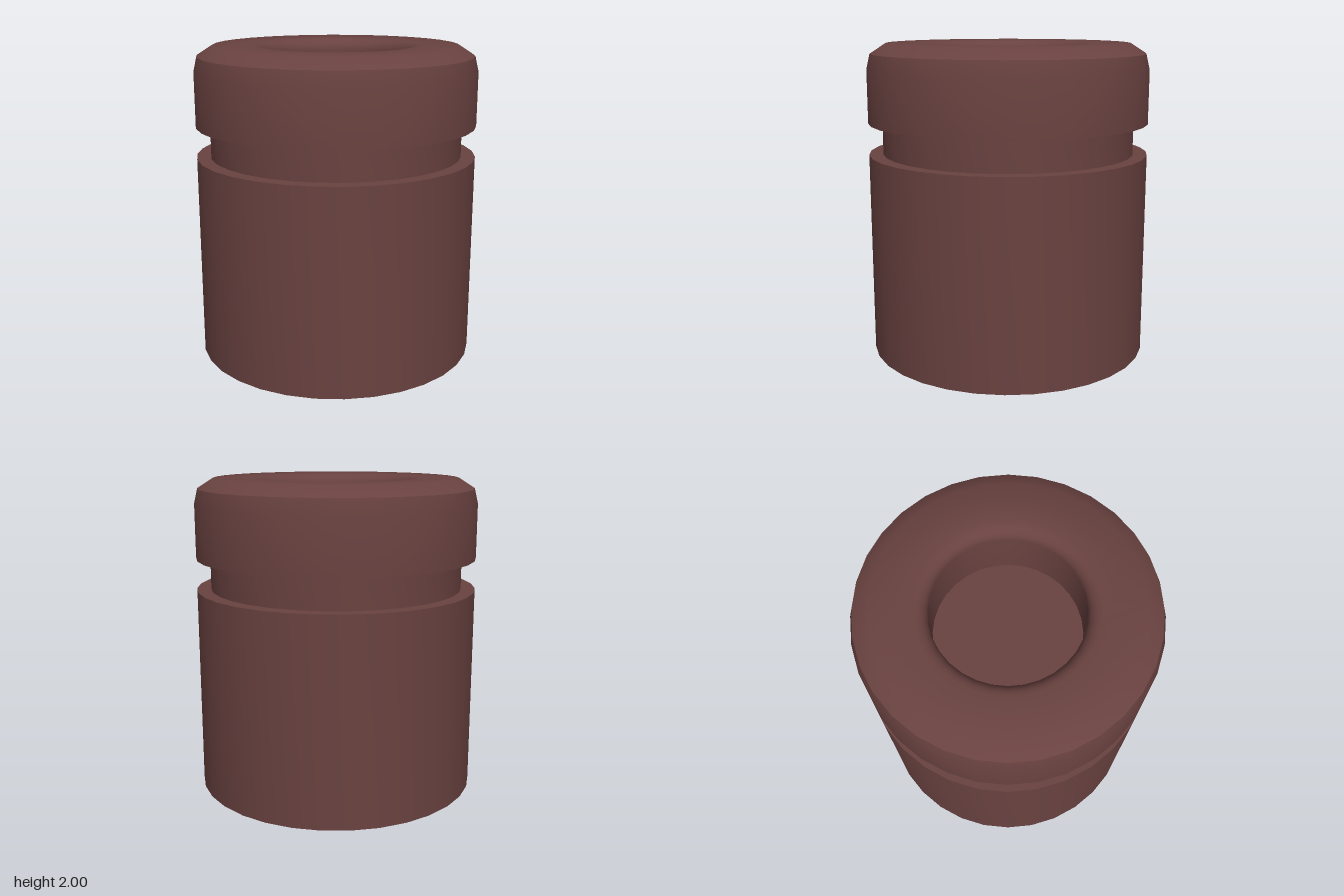
import * as THREE from 'three';
import { toCreasedNormals } from 'three/addons/utils/BufferGeometryUtils.js';

const SIDES = 32;
const CREASE = THREE.MathUtils.degToRad(38);

// Turned part from a profile of [radius, height] pairs
function turned(name, profile, material) {
  const points = profile.map(([r, y]) => new THREE.Vector2(r, y));
  const geometry = toCreasedNormals(new THREE.LatheGeometry(points, SIDES), CREASE);
  const mesh = new THREE.Mesh(geometry, material);
  mesh.name = name;
  return mesh;
}

export function createModel() {
  const brown = new THREE.MeshStandardMaterial({ color: 0x694240 });
  brown.name = 'dark reddish brown';

  const group = new THREE.Group();
  group.name = 'groovedCylinder';

  // Lower drum with a flat underside and shoulder
  group.add(turned('body', [[0, 0], [0.9, 0], [0.9, 1.3], [0.81, 1.3]], brown));

  // Recessed groove wall
  group.add(turned('groove', [[0.81, 1.3], [0.81, 1.5]], brown));

  // Cap: bevelled outside, rounded lip running into the blind bore
  const lip = [];
  for (let i = 0; i <= 6; i++) {
    const a = (i / 6) * Math.PI / 2;
    lip.push([0.53 - 0.08 * Math.sin(a), 1.92 + 0.08 * Math.cos(a)]);
  }
  group.add(turned('cap', [
    [0.81, 1.5], [0.9, 1.5], [0.9, 1.84], [0.877, 1.937], [0.78, 2],
    ...lip, [0.45, 1.6], [0, 1.6],
  ], brown));

  return group;
}
